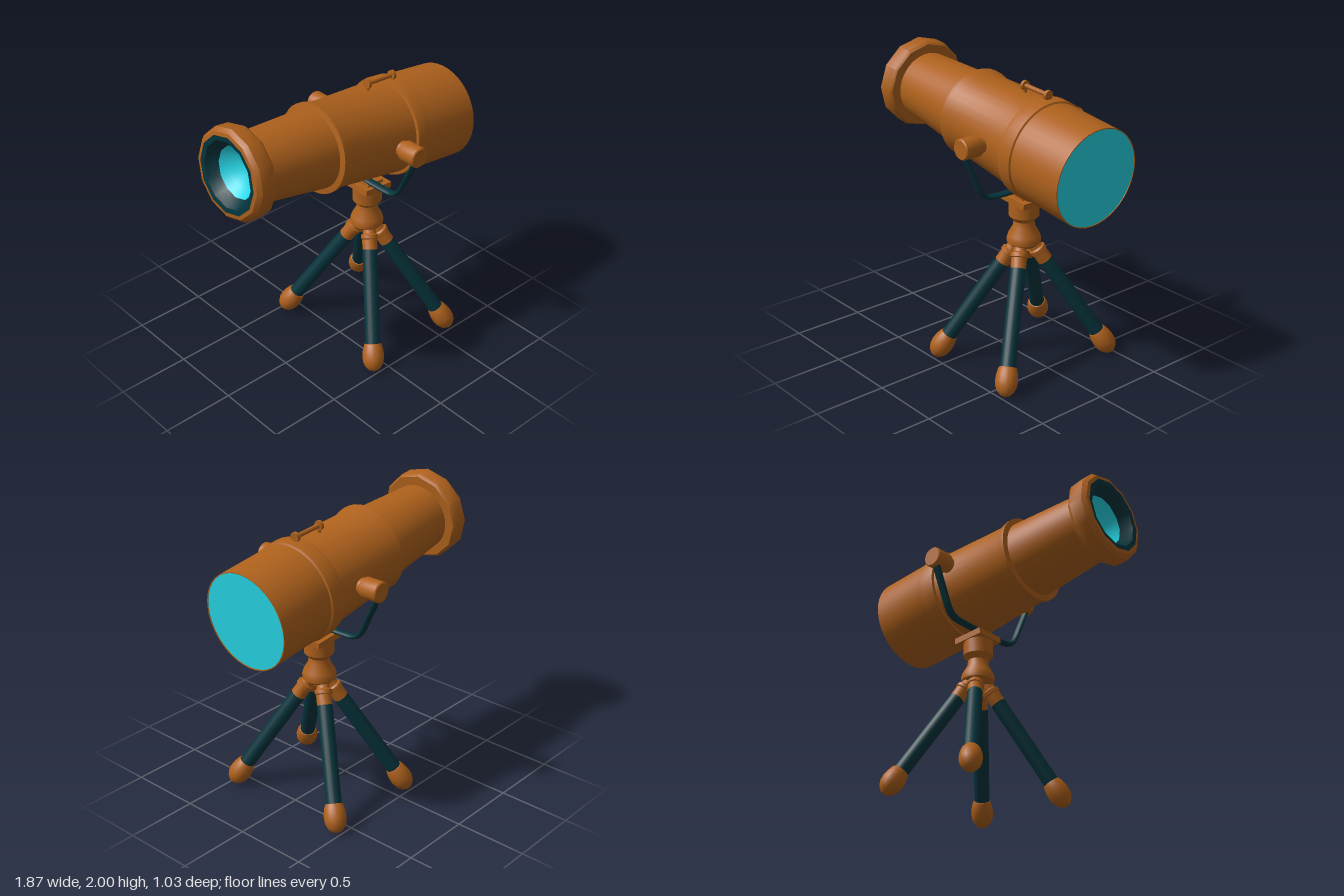
import * as THREE from 'three';
import { toCreasedNormals } from 'three/addons/utils/BufferGeometryUtils.js';

const mat = (name, color) => {
  const m = new THREE.MeshStandardMaterial({ color });
  m.name = name;
  return m;
};

export function createModel() {
  const group = new THREE.Group();
  const bronze = mat('bronze', 0xae611c);
  const darkTeal = mat('dark teal', 0x04343c);
  const glass = mat('cyan glass', 0x26d6e6);

  const add = (name, geometry, material, parent = group) => {
    const mesh = new THREE.Mesh(geometry, material);
    mesh.name = name;
    parent.add(mesh);
    return mesh;
  };
  // lathe from [radius, height] pairs
  const turned = (points, sides) =>
    new THREE.LatheGeometry(points.map(([r, y]) => new THREE.Vector2(r, y)), sides);
  const crease = (g) => toCreasedNormals(g, 0.6);

  // Barrel frame: long axis falls toward +x, rings lean slightly less than the axis
  const lean = 0.082, slope = 0.1265;
  const barrelFrame = new THREE.Matrix4().makeBasis(
    new THREE.Vector3(0, 0, 1.015),
    new THREE.Vector3(1, -slope, 0),
    new THREE.Vector3(Math.sin(lean), Math.cos(lean), 0)
  ).setPosition(0, 1.58, 0);
  const barrelPart = (name, points, material, sides = 40) =>
    add(name, crease(turned(points, sides).applyMatrix4(barrelFrame)), material);

  barrelPart('barrel', [
    [0.224, -0.78], [0.262, -0.235], [0.300, -0.228], [0.300, -0.205], [0.284, -0.15],
    [0.312, 0.38], [0.332, 0.383], [0.336, 0.40], [0.336, 0.487], [0.325, 0.494],
    [0.324, 0.908], [0.318, 0.908], [0.318, 0.895]
  ], bronze);
  barrelPart('frontLens', [[0.3185, 0.904], [0, 0.904]], glass);
  barrelPart('eyepiece', [
    [0.255, -0.91], [0.28, -0.906], [0.304, -0.878], [0.304, -0.785],
    [0.29, -0.765], [0.215, -0.765]
  ], bronze, 12);
  // dark funnel spreading over the rim face
  barrelPart('eyepieceLining', [
    [0.172, -0.835], [0.2, -0.87], [0.222, -0.906], [0.255, -0.91]
  ], darkTeal, 12);
  // hollow bowl of glass behind the lining
  barrelPart('eyepieceLens', [[0, -0.74], [0.07, -0.752], [0.125, -0.785], [0.175, -0.838]], glass, 24);

  // Carrying handle on top
  const handle = new THREE.Group();
  handle.name = 'handle';
  handle.position.set(0.352, 1.893, -0.005);
  handle.rotation.z = -0.07;
  group.add(handle);
  const bar = add('handleBar', new THREE.CylinderGeometry(0.015, 0.015, 0.22, 12), bronze, handle);
  bar.rotation.z = Math.PI / 2;
  for (const side of [-1, 1]) {
    const post = add('handlePost', new THREE.CylinderGeometry(0.012, 0.012, 0.1, 10), bronze, handle);
    post.position.set(side * 0.105, -0.04, 0);
    const boss = add('handleBoss', new THREE.CylinderGeometry(0.032, 0.032, 0.022, 14), bronze, handle);
    boss.rotation.z = Math.PI / 2;
    boss.position.x = side * 0.108;
  }

  // Pivot knobs on both sides, each with a short collar
  for (const side of [-1, 1]) {
    const knob = add('pivotKnob', crease(turned([
      [0, 0.342], [0.055, 0.342], [0.055, 0.368], [0.064, 0.368], [0.069, 0.376],
      [0.069, 0.498], [0.062, 0.505], [0, 0.505]
    ], 24)), bronze);
    knob.position.set(0.225, 1.58, 0);
    knob.rotation.x = side * Math.PI / 2;
  }

  // Yoke: one bent strap passing under the barrel
  const half = [[0.475, 1.55], [0.45, 1.49], [0.40, 1.385], [0.345, 1.27], [0.315, 1.23], [0.27, 1.207], [0.20, 1.2]];
  const yokePath = new THREE.CatmullRomCurve3([
    ...half.map(([z, y]) => new THREE.Vector3(0, y, z)),
    ...half.slice().reverse().map(([z, y]) => new THREE.Vector3(0, y, -z))
  ], false, 'centripetal');
  const yoke = add('yoke', new THREE.TubeGeometry(yokePath, 64, 0.017, 12), darkTeal);
  yoke.scale.x = 1.75;
  yoke.position.x = 0.218;

  // Mount: tilted plates on a turned column
  const plate = add('mountPlate', new THREE.BoxGeometry(0.225, 0.042, 0.215), bronze);
  plate.position.set(0.255, 1.145, 0);
  plate.rotation.z = -0.09;
  const pad = add('mountPad', new THREE.BoxGeometry(0.135, 0.03, 0.15), bronze);
  pad.position.set(0.255, 1.173, 0);
  pad.rotation.z = -0.09;
  const column = add('column', crease(turned([
    [0, 0.815], [0.085, 0.815], [0.112, 0.84], [0.114, 0.865], [0.105, 0.895], [0.074, 0.95],
    [0.068, 0.99], [0.085, 1.01], [0.1, 1.025], [0.1, 1.13], [0, 1.13]
  ], 28)), bronze);
  column.position.x = 0.25;

  // Four splayed legs, each built downward from the column
  const up = new THREE.Vector3(0, 1, 0);
  for (const sx of [-1, 1]) for (const sz of [-1, 1]) {
    const top = new THREE.Vector3(0.25 + sx * 0.02, 0.84, sz * 0.045);
    const foot = new THREE.Vector3(0.25 + sx * 0.34, 0.077, sz * 0.443);
    const length = top.distanceTo(foot);
    const leg = new THREE.Group();
    leg.name = 'leg';
    leg.position.copy(foot);
    leg.quaternion.setFromUnitVectors(up, top.clone().sub(foot).normalize());
    group.add(leg);
    add('legTube', new THREE.CylinderGeometry(0.052, 0.052, length - 0.26, 20), darkTeal, leg)
      .position.y = length / 2 - 0.04;
    add('legSocket', crease(turned([
      [0.04, -0.172], [0.0515, -0.172], [0.0515, -0.10], [0.059, -0.095], [0.059, -0.07],
      [0.045, -0.06], [0.04, 0], [0, 0.01]
    ], 20)), bronze, leg).position.y = length;
    add('foot', crease(turned([
      [0, -0.085], [0.03, -0.077], [0.055, -0.053], [0.07, -0.02], [0.075, 0.015],
      [0.072, 0.055], [0.064, 0.09], [0.057, 0.106], [0.045, 0.108]
    ], 20)), bronze, leg);
  }

  return group;
}
